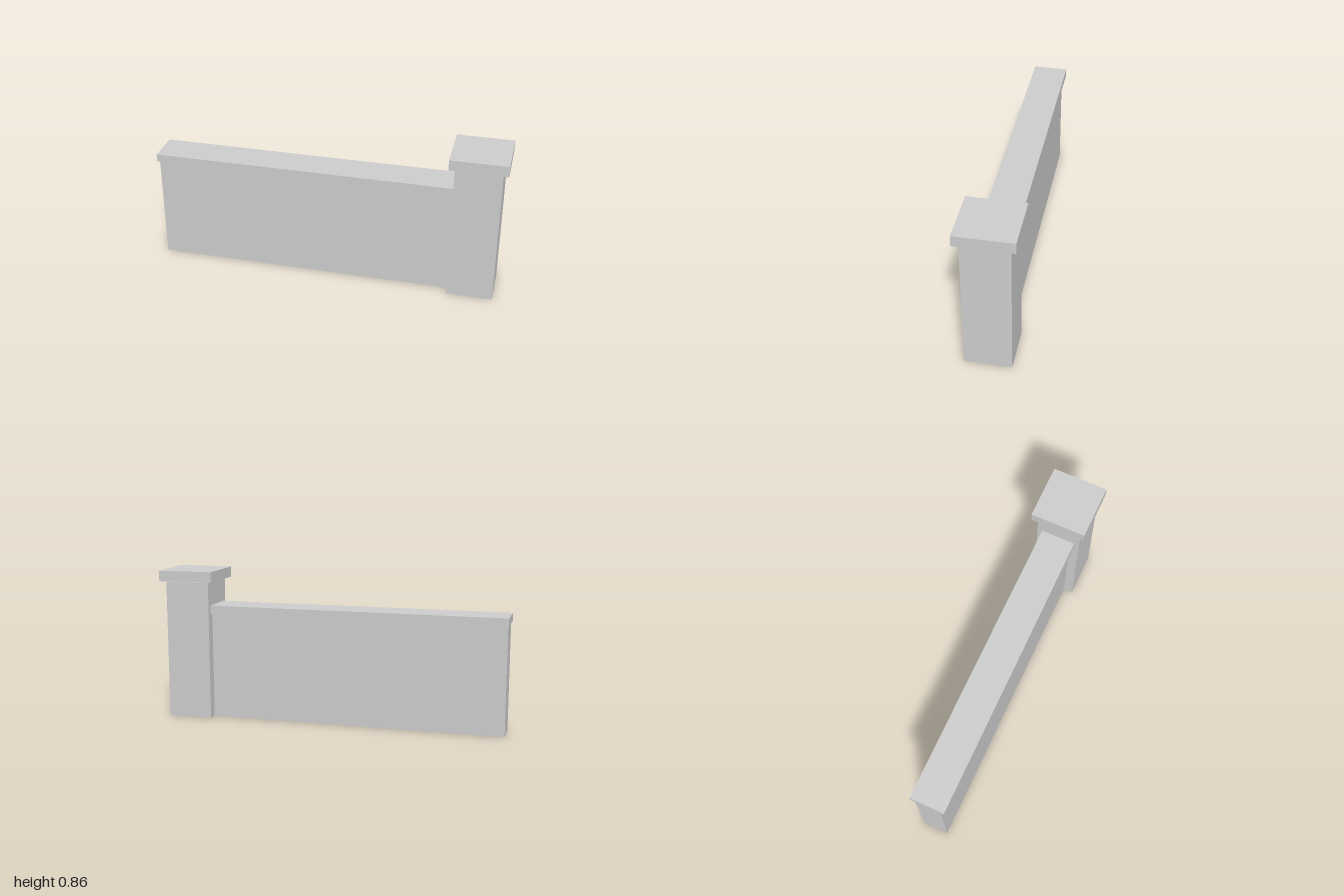
import * as THREE from 'three';

const material = new THREE.MeshStandardMaterial({ color: 0xcccccc, flatShading: true });

// Block spanning x0..x1 and y0..y1, centred on z = 0
function block(name, x0, x1, y0, y1, depth) {
  const mesh = new THREE.Mesh(new THREE.BoxGeometry(x1 - x0, y1 - y0, depth), material);
  mesh.name = name;
  mesh.position.set((x0 + x1) / 2, (y0 + y1) / 2, 0);
  return mesh;
}

export function createModel() {
  const model = new THREE.Group();
  model.name = 'gardenWall';

  // Wall panel with its overhanging coping, both butting against the pillar
  const wall = new THREE.Group();
  wall.name = 'wall';
  wall.add(
    block('wallPanel', -0.994, 0.711, 0, 0.618, 0.148),
    block('wallCoping', -1, 0.711, 0.618, 0.663, 0.2),
  );

  // Square end pillar; the cap sits above a fine joint
  const pillar = new THREE.Group();
  pillar.name = 'pillar';
  pillar.add(
    block('pillarShaft', 0.711, 0.97, 0, 0.796, 0.259),
    block('pillarCap', 0.681, 1, 0.802, 0.863, 0.319),
  );

  model.add(wall, pillar);
  return model;
}
